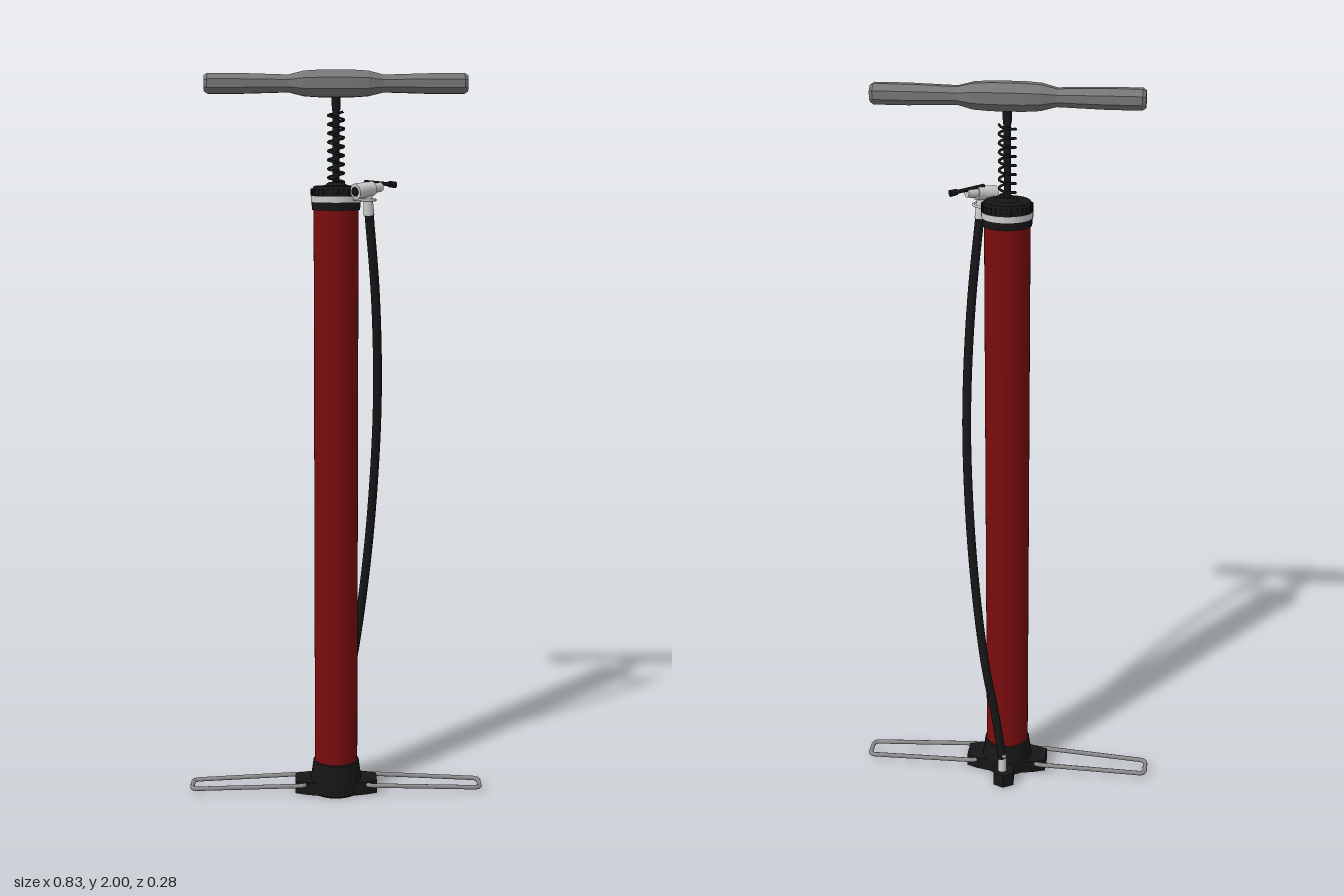
import * as THREE from 'three';

const V = (x, y, z) => new THREE.Vector3(x, y, z);
const mat = (color, extra = {}) => new THREE.MeshStandardMaterial({ color, ...extra });
const red = mat(0x7a0c0e), black = mat(0x161616), steel = mat(0xcccccc);
const wire = mat(0x8c8c8c), grip = mat(0x777777, { flatShading: true });
const blackFlat = mat(0x161616, { flatShading: true });

function add(parent, name, geometry, material, x = 0, y = 0, z = 0) {
  const mesh = new THREE.Mesh(geometry, material);
  mesh.name = name;
  mesh.position.set(x, y, z);
  parent.add(mesh);
  return mesh;
}

// Cylinder or cone standing between two heights
function post(parent, name, rTop, rBottom, y0, y1, material, x = 0, z = 0, sides = 32) {
  return add(parent, name, new THREE.CylinderGeometry(rTop, rBottom, y1 - y0, sides), material, x, (y0 + y1) / 2, z);
}

// Cylinder between two points
function rod(parent, name, a, b, rA, rB, material, sides = 20) {
  const d = b.clone().sub(a);
  const m = add(parent, name, new THREE.CylinderGeometry(rB, rA, d.length(), sides), material);
  m.position.copy(a).addScaledVector(d, 0.5);
  m.quaternion.setFromUnitVectors(V(0, 1, 0), d.normalize());
  return m;
}

function tube(parent, name, points, radius, material, segments, sides = 10, closed = false) {
  const curve = new THREE.CatmullRomCurve3(points, closed, 'centripetal');
  return add(parent, name, new THREE.TubeGeometry(curve, segments, radius, sides, closed), material);
}

// Closed wire path with rounded corners
function roundedLoop(corners, r) {
  const path = new THREE.CurvePath(), n = corners.length;
  const near = (i, j) => corners[i].clone().add(corners[j].clone().sub(corners[i]).setLength(r));
  for (let i = 0; i < n; i++) {
    const prev = (i + n - 1) % n, next = (i + 1) % n;
    path.add(new THREE.QuadraticBezierCurve3(near(i, prev), corners[i], near(i, next)));
    path.add(new THREE.LineCurve3(near(i, next), near(next, i)));
  }
  return path;
}

export function createModel() {
  const model = new THREE.Group();
  model.name = 'floorPump';
  const body = new THREE.Group();
  body.name = 'body';
  body.position.set(-0.003, 0, -0.008);
  model.add(body);

  // Barrel and base
  post(body, 'barrel', 0.06, 0.06, 0.09, 1.65, red, 0, 0, 40);
  add(body, 'baseCone', new THREE.LatheGeometry([[0, 0], [0.066, 0], [0.072, 0.006], [0.072, 0.035], [0.064, 0.092], [0.06, 0.095], [0, 0.095]]
    .map(p => new THREE.Vector2(...p)), 32), blackFlat);

  const base = new THREE.Group();
  base.name = 'foot';
  base.rotation.y = -0.09;
  body.add(base);
  for (const s of [-1, 1]) {
    // Hinge blocks and fold-out wire loops
    const wing = new THREE.Shape([[0.03, -0.055], [0.085, -0.042], [0.115, -0.03], [0.115, 0.03], [0.085, 0.042], [0.03, 0.055]]
      .map(([x, z]) => new THREE.Vector2(s * x, z)));
    const g = new THREE.ExtrudeGeometry(wing, { depth: 0.036, bevelEnabled: false });
    g.rotateX(-Math.PI / 2);
    add(base, 'hingeBlock', g, blackFlat, 0, 0.002, 0);
    const loop = roundedLoop([V(s * 0.085, 0.03, -0.045), V(s * 0.407, 0.018, -0.034),
      V(s * 0.407, 0.018, 0.034), V(s * 0.085, 0.03, 0.045)], 0.018);
    add(base, 'footLoop', new THREE.TubeGeometry(loop, 160, 0.0065, 8, true), wire);
  }

  // Outlet block behind the base
  const outlet = new THREE.Shape([[-0.022, 0.03], [-0.022, 0.115], [0.008, 0.13], [0.036, 0.115], [0.032, 0.03]]
    .map(p => new THREE.Vector2(...p)));
  const og = new THREE.ExtrudeGeometry(outlet, { depth: 0.04, bevelEnabled: false });
  og.rotateX(-Math.PI / 2);
  add(body, 'outletBlock', og, blackFlat);
  post(model, 'outletFitting', 0.011, 0.013, 0.035, 0.095, steel, 0.008, -0.105, 16);

  // Collar and cap
  post(body, 'lowerCollar', 0.066, 0.064, 1.635, 1.657, black);
  post(body, 'steelBand', 0.067, 0.067, 1.656, 1.672, steel);
  add(body, 'cap', new THREE.LatheGeometry([[0, 1.67], [0.066, 1.67], [0.066, 1.685], [0.06, 1.698], [0.03, 1.7], [0.02, 1.708], [0, 1.708]]
    .map(p => new THREE.Vector2(...p)), 32), blackFlat);
  for (let i = 0; i < 28; i++) {
    const a = i / 28 * Math.PI * 2;
    const rib = add(body, 'capRib', new THREE.BoxGeometry(0.006, 0.018, 0.005), black, Math.cos(a) * 0.0645, 1.682, Math.sin(a) * 0.0645);
    rib.rotation.y = -a;
  }

  // Piston rod and spring
  post(body, 'pistonRod', 0.009, 0.009, 1.69, 1.95, black, 0, 0, 16);
  post(body, 'rodSocket', 0.013, 0.011, 1.895, 1.945, black, 0, 0, 16);
  const coil = [], turns = 8;
  for (let i = 0; i <= turns * 12; i++) {
    const a = i / 12 * Math.PI * 2;
    coil.push(V(Math.cos(a) * 0.021, 1.708 + 0.185 * i / (turns * 12), Math.sin(a) * 0.021));
  }
  tube(body, 'spring', coil, 0.0035, black, turns * 20, 6);

  // Faceted handle, swollen in the middle
  const half = [[0.347, 0], [0.347, 0.023], [0.338, 0.029], [0.25, 0.029], [0.125, 0.025], [0.085, 0.036], [0.04, 0.039]];
  const profile = [...half.map(([x, r]) => new THREE.Vector2(r, -x)), ...half.slice().reverse().map(([x, r]) => new THREE.Vector2(r, x))];
  const hg = new THREE.LatheGeometry(profile, 8, Math.PI / 8);
  hg.rotateZ(Math.PI / 2);
  hg.scale(1, 0.98, 1.08);
  add(body, 'handle', hg, grip, 0, 1.964, 0).rotation.y = -0.085;

  // Hose sweeping round the barrel from back to front
  tube(model, 'hose', [V(0.008, 0.08, -0.105), V(0.025, 0.2, -0.1), V(0.06, 0.4, -0.085), V(0.092, 0.7, -0.05),
    V(0.107, 1, -0.01), V(0.106, 1.2, 0.025), V(0.094, 1.42, 0.063), V(0.072, 1.64, 0.094)], 0.012, black, 90, 12);

  // Valve head with locking lever
  rod(model, 'hoseFitting', V(0.073, 1.625, 0.092), V(0.069, 1.685, 0.098), 0.014, 0.011, steel, 16);
  rod(model, 'valveHead', V(0.034, 1.686, 0.12), V(0.082, 1.694, 0.09), 0.021, 0.019, steel);
  rod(model, 'valveNeck', V(0.08, 1.694, 0.091), V(0.106, 1.697, 0.075), 0.014, 0.012, steel);
  rod(model, 'valveMouth', V(0.031, 1.6855, 0.122), V(0.036, 1.6865, 0.119), 0.012, 0.012, black);
  rod(model, 'lever', V(0.062, 1.71, 0.1), V(0.14, 1.703, 0.051), 0.006, 0.005, black, 10);
  rod(model, 'leverTip', V(0.13, 1.704, 0.057), V(0.148, 1.702, 0.046), 0.008, 0.009, black, 8);

  // Wire clip holding the hose end to the band
  tube(model, 'hoseClip', [V(0.045, 1.664, 0.042), V(0.062, 1.664, 0.05), V(0.084, 1.664, 0.07), V(0.09, 1.664, 0.092),
    V(0.076, 1.664, 0.11), V(0.058, 1.664, 0.104), V(0.052, 1.664, 0.086), V(0.04, 1.664, 0.05)], 0.0035, steel, 48, 8);

  return model;
}
